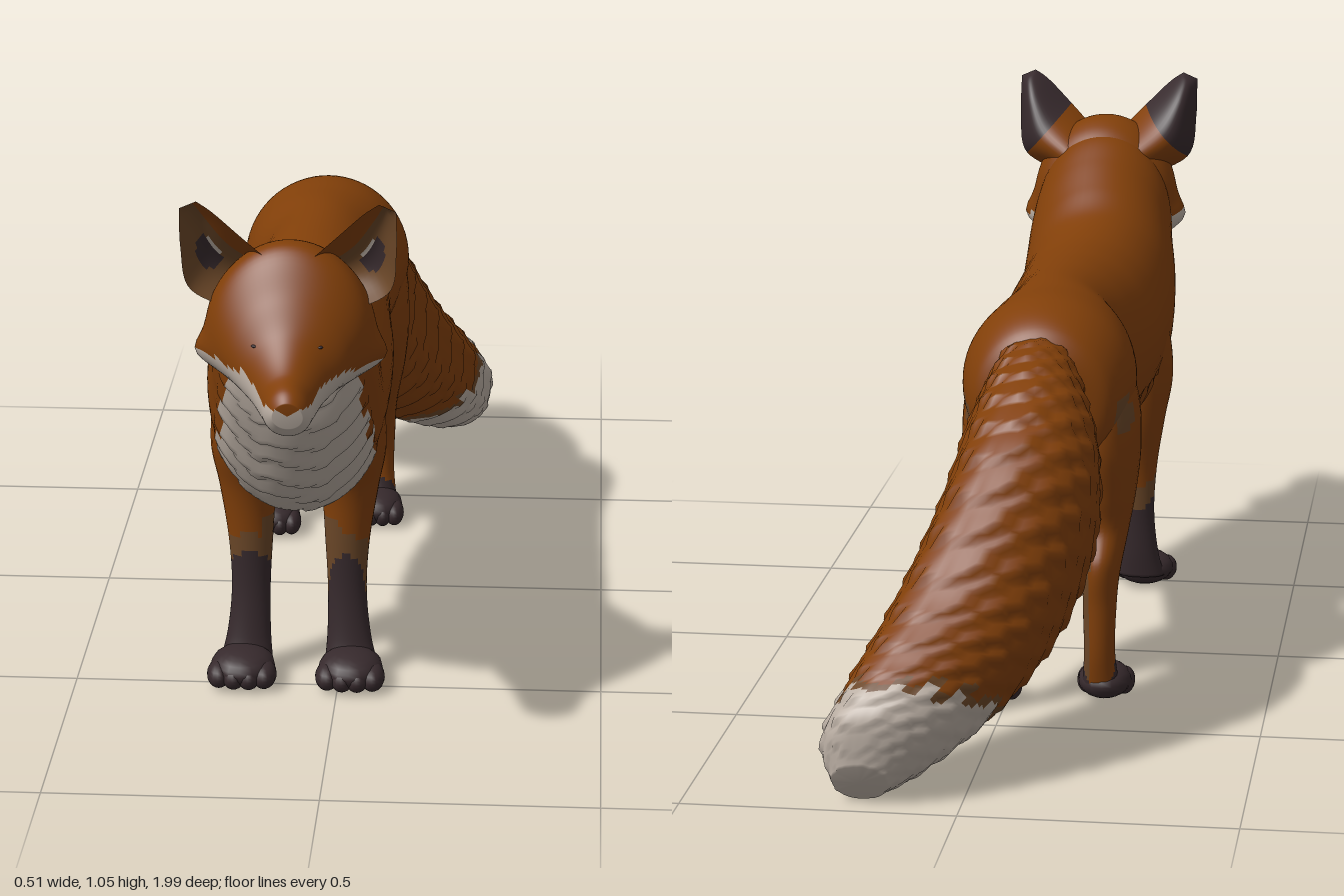
import * as THREE from 'three';

const fur = (name, color) => {
  const m = new THREE.MeshStandardMaterial({ color, side: THREE.DoubleSide });
  m.name = name;
  return m;
};
const ORANGE = 0, CREAM = 1, DARK = 2, BROWN = 3;
const MID = -0.07; // centre line of the body

// repeatable noise in 0..1
const hash = (n) => { const s = Math.sin(n * 127.1 + 11.7) * 43758.5453; return s - Math.floor(s); };
const saw = (v) => 1 - (v - Math.floor(v));
const bell = (v, width) => Math.exp(-((v / width) ** 2));

// Makes one indexed mesh with a material group for each colour
function paintedMesh(name, verts, faces, mats) {
  const g = new THREE.BufferGeometry();
  g.setAttribute('position', new THREE.Float32BufferAttribute(verts, 3));
  const index = [];
  faces.forEach((list, m) => {
    if (list.length) g.addGroup(index.length, list.length, m);
    for (const i of list) index.push(i);
  });
  g.setIndex(index);
  g.computeVertexNormals();
  const mesh = new THREE.Mesh(g, mats);
  mesh.name = name;
  return mesh;
}

// Smooth skin over rings [x, topZ, topY, bottomZ, bottomY, halfWidth]
function loft(name, rings, mats, pick, { segs = 40, steps = 6, widen = () => 1, tufts = () => 1 } = {}) {
  const curveA = new THREE.CatmullRomCurve3(rings.map((r) => new THREE.Vector3(r[0], r[2], r[1])));
  const curveB = new THREE.CatmullRomCurve3(rings.map((r) => new THREE.Vector3(r[5], r[4], r[3])));
  const n = (rings.length - 1) * steps;
  const verts = [], faces = [[], [], [], []];
  for (let i = 0; i <= n; i++) {
    const a = curveA.getPoint(i / n), b = curveB.getPoint(i / n);
    const cy = (a.y + b.y) / 2, cz = (a.z + b.z) / 2;
    for (let j = 0; j < segs; j++) {
      const t = (j / segs) * Math.PI * 2, c = Math.cos(t), f = tufts(i / steps, j, c);
      verts.push(a.x + b.x * Math.sin(t) * widen(i / steps, c) * f, cy + (a.y - cy) * c * f, cz + (a.z - cz) * c * f);
    }
  }
  const at = (i, j) => i * segs + (j % segs);
  const colour = (i, j) => {
    const k = at(i, j) * 3;
    return pick({ x: verts[k], y: verts[k + 1], z: verts[k + 2], t: i / steps, j, c: Math.cos(((j + 0.5) / segs) * Math.PI * 2) });
  };
  for (let i = 0; i < n; i++) for (let j = 0; j < segs; j++) {
    const p = at(i, j), q = at(i + 1, j), r = at(i, j + 1), s = at(i + 1, j + 1);
    faces[colour(i, j)].push(p, q, r, r, q, s);
  }
  // end caps
  for (const i of [0, n]) {
    const a = curveA.getPoint(i / n), b = curveB.getPoint(i / n), k = verts.length / 3;
    verts.push(a.x, (a.y + b.y) / 2, (a.z + b.z) / 2);
    for (let j = 0; j < segs; j++) {
      const e = [at(i, j), at(i, j + 1)];
      faces[colour(i, j)].push(k, ...(i ? e.reverse() : e));
    }
  }
  return paintedMesh(name, verts, faces, mats);
}

// Paw: a pad with four closely set toes
function paw(name, x, z, width, length, mat) {
  const g = new THREE.Group();
  g.name = name;
  const ball = (part, px, py, pz, sx, sy, sz) => {
    const m = new THREE.Mesh(new THREE.SphereGeometry(1, 16, 12), mat);
    m.name = part;
    m.position.set(x + px, py, z + pz);
    m.scale.set(sx, sy, sz);
    g.add(m);
  };
  ball('pad', 0, 0.036, 0, width * 0.47, 0.035, length * 0.54);
  for (let k = 0; k < 4; k++) {
    const u = k - 1.5;
    ball('toe', u * width * 0.22, 0.027, length * (0.27 - 0.05 * Math.abs(u)), width * 0.18, 0.026, length * 0.31);
  }
  return g;
}

// Ear: a cupped sheet, dark behind and lighter inside
function ear(name, side, mats, inside) {
  const P = (x, y, z) => new THREE.Vector3(x, y, z);
  const inner = new THREE.CatmullRomCurve3([P(0.04, 0.94, 0.775), P(0.085, 0.985, 0.79), P(0.135, 1.033, 0.8), P(0.16, 1.05, 0.8)]);
  const outer = new THREE.CatmullRomCurve3([P(0.115, 0.84, 0.755), P(0.178, 0.88, 0.765), P(0.19, 0.96, 0.785), P(0.19, 1.037, 0.8)]);
  const N = 20, verts = [], faces = [[], [], [], []];
  for (let i = 0; i <= N; i++) for (let j = 0; j <= N; j++) {
    const v = i / N, u = j / N, p = inner.getPoint(v).lerp(outer.getPoint(v), u);
    const cup = 4 * u * (1 - u) * Math.pow(1 - v, 0.5) * (inside ? 0.07 : 0.1);
    verts.push(-0.067 + side * p.x, p.y, p.z - cup);
  }
  for (let i = 0; i < N; i++) for (let j = 0; j < N; j++) {
    const v = (i + 0.5) / N, u = (j + 0.5) / N, p = i * (N + 1) + j, q = p + N + 1;
    let m = v < 0.3 ? ORANGE : DARK;
    if (inside) {
      m = u < 0.3 || v < 0.12 ? ORANGE : BROWN;
      if (Math.hypot((u - 0.6) / 0.16, (v - 0.4) / 0.17) < 1) m = u < 0.52 ? CREAM : DARK;
    }
    const f = [p, q, p + 1, p + 1, q, q + 1];
    faces[m].push(...(side > 0 !== inside ? f : f.reverse()));
  }
  return paintedMesh(name, verts, faces, mats);
}

export function createModel() {
  const fox = new THREE.Group();
  fox.name = 'fox';
  const mats = [fur('orangeFur', 0x813f09), fur('creamFur', 0xbaaea3), fur('darkFur', 0x372a2d), fur('brownFur', 0x6b4728)];

  // worn patch on each hip
  const patch = ({ x, y, z }) => Math.hypot(Math.abs(x + 0.067) - 0.145, y - 0.575, z + 0.335) < 0.032;

  // body and neck, from rump to skull, with a cream belly and bib
  const bib = (t, c) => t > 2.8 && c < (t < 7.5 ? -0.83 : t < 9 ? -0.45 : -0.52);
  fox.add(loft('body', [
    [MID, -0.41, 0.69, -0.4, 0.56, 0.06], [MID, -0.37, 0.745, -0.378, 0.46, 0.132],
    [MID, -0.28, 0.78, -0.26, 0.45, 0.165], [MID, -0.17, 0.785, -0.15, 0.45, 0.157],
    [-0.065, -0.07, 0.787, -0.05, 0.42, 0.135], [MID, 0.08, 0.78, 0.08, 0.395, 0.147],
    [MID, 0.22, 0.772, 0.22, 0.385, 0.16], [MID, 0.36, 0.775, 0.38, 0.375, 0.163],
    [-0.075, 0.46, 0.8, 0.52, 0.37, 0.163], [-0.075, 0.53, 0.845, 0.61, 0.44, 0.16],
    [MID, 0.6, 0.89, 0.67, 0.52, 0.152], [MID, 0.66, 0.925, 0.72, 0.6, 0.142],
    [-0.067, 0.71, 0.94, 0.75, 0.68, 0.118],
  ], mats, (p) => {
    const { t, c, j } = p;
    if (bib(t + hash(j) * 0.3, c + (hash(j + Math.floor(t * 3) * 7) - 0.5) * 0.1)) return CREAM;
    return patch(p) ? BROWN : ORANGE;
  }, {
    segs: 64, steps: 10,
    tufts: (t, j, c) => (t > 3.5 && c < -0.4 ? 0.98 + 0.06 * saw(t * 1.7 + hash(j >> 1) * 0.6) : 1),
  }));

  // head, from skull to nose, with broad cream cheeks
  fox.add(loft('head', [
    [MID, 0.62, 0.87, 0.66, 0.66, 0.1], [-0.068, 0.69, 0.945, 0.72, 0.665, 0.147],
    [-0.067, 0.765, 0.962, 0.77, 0.675, 0.146], [-0.066, 0.83, 0.885, 0.83, 0.685, 0.11],
    [-0.063, 0.875, 0.825, 0.875, 0.677, 0.073], [-0.059, 0.93, 0.78, 0.92, 0.67, 0.05],
    [-0.056, 0.975, 0.765, 0.96, 0.677, 0.04], [-0.054, 0.996, 0.748, 0.986, 0.7, 0.026],
  ], mats, ({ x, y, z, j }) => {
    const cheek = THREE.MathUtils.smoothstep(Math.abs(x + 0.065), 0.03, 0.09);
    const line = z > 0.965 ? 0.735 : 0.724 + 0.036 * cheek;
    return y < line + (hash(j) - 0.5) * 0.012 ? CREAM : ORANGE;
  }, {
    segs: 64, steps: 10,
    widen: (t, c) => 1 - 0.1 * c + 0.22 * bell(c + 0.45, 0.25) * bell(t - 1.3, 0.9),
  }));

  for (const s of [1, -1]) {
    const side = s > 0 ? 'left' : 'right';
    fox.add(ear(side + 'EarBack', s, mats, false), ear(side + 'EarInside', s, mats, true));

    // small narrow eye
    const eye = new THREE.Mesh(new THREE.SphereGeometry(0.006, 12, 8), mats[DARK]);
    eye.name = side + 'Eye';
    eye.scale.y = 0.5;
    eye.position.set(-0.064 + s * 0.057, 0.807, 0.862);
    fox.add(eye);

    // front leg, listed from shoulder to ankle as front and back points
    const front = [
      [0.075, 0.5, 0.66, 0.36, 0.66, 0.05], [0.086, 0.52, 0.57, 0.345, 0.57, 0.07],
      [0.093, 0.51, 0.47, 0.35, 0.47, 0.073], [0.096, 0.478, 0.38, 0.365, 0.38, 0.055],
      [0.092, 0.465, 0.27, 0.393, 0.27, 0.042], [0.092, 0.46, 0.17, 0.405, 0.17, 0.037],
      [0.096, 0.468, 0.08, 0.413, 0.08, 0.042], [0.1, 0.48, 0.03, 0.42, 0.03, 0.05],
    ].map(([x, ...r]) => [-0.078 + s * x, ...r]);
    const sock = s > 0 ? [0.15, 0.11] : [0.225, 0.035];
    fox.add(loft(side + 'FrontLeg', front, mats, ({ x, y, c }) => {
      if (y < sock[0] + sock[1] * c) return DARK;
      return y < 0.27 + 0.03 * c || (y < 0.33 && (x + 0.077) * s < 0.075) ? BROWN : ORANGE;
    }, { segs: 32, steps: 8 }));
    fox.add(paw(side + 'FrontPaw', -0.079 + s * 0.103, 0.49, 0.13, 0.128, mats[DARK]));

    // hind leg; the right one stands a little further forward
    const shift = (y) => (s > 0 ? 0 : 0.065 * (1 - THREE.MathUtils.smoothstep(y, 0.2, 0.46)));
    const hind = [
      [0.07, -0.16, 0.69, -0.34, 0.69, 0.05], [0.09, -0.12, 0.6, -0.365, 0.6, 0.073],
      [0.1, -0.115, 0.5, -0.375, 0.5, 0.072], [0.104, -0.175, 0.4, -0.365, 0.41, 0.061],
      [0.105, -0.255, 0.32, -0.375, 0.345, 0.048], [0.105, -0.335, 0.235, -0.428, 0.285, 0.036],
      [0.104, -0.368, 0.18, -0.438, 0.2, 0.032], [0.104, -0.37, 0.1, -0.43, 0.1, 0.03],
      [0.105, -0.355, 0.035, -0.415, 0.03, 0.036],
    ].map(([x, zf, yf, zb, yb, w]) => [-0.074 + s * x, zf + shift(yf), yf, zb + shift(yb), yb, w]);
    const toeLine = s > 0 ? [0.065, 0.03] : [0.1, 0.06];
    fox.add(loft(side + 'HindLeg', hind, mats, (p) => {
      if (p.y < toeLine[0] + toeLine[1] * p.c) return DARK;
      return patch(p) || (p.y < 0.5 && (p.x + 0.074) * s < 0.085) ? BROWN : ORANGE;
    }, { segs: 32, steps: 8 }));
    fox.add(paw(side + 'HindPaw', -0.078 + s * 0.106, -0.358 + shift(0), 0.11, 0.12, mats[DARK]));
  }

  // bushy tail, listed from tip to root, curving to the left
  fox.add(loft('tail', [
    [0.18, -0.99, 0.08, -0.945, 0.005, 0.05], [0.152, -0.99, 0.18, -0.885, 0.018, 0.1],
    [0.095, -0.93, 0.262, -0.8, 0.06, 0.13], [0.033, -0.855, 0.355, -0.7, 0.12, 0.146],
    [-0.022, -0.765, 0.485, -0.6, 0.185, 0.148], [-0.06, -0.67, 0.605, -0.51, 0.285, 0.142],
    [-0.068, -0.55, 0.68, -0.44, 0.4, 0.126], [-0.062, -0.44, 0.718, -0.39, 0.49, 0.1],
    [-0.06, -0.34, 0.735, -0.34, 0.56, 0.08],
  ], mats, ({ x, t, c, j }) => {
    const k = t + hash(j >> 1) * 0.35 + 0.45 * c;
    if (k < 2.1) return CREAM;
    if (c < -0.8 && x < -0.025 && x > -0.125 && t > 3) return CREAM;
    return k < 2.25 ? BROWN : ORANGE;
  }, {
    segs: 56, steps: 16,
    tufts: (t, j) => 0.965 + 0.09 * saw(t * 2 + hash(j >> 1) * 0.85) * Math.min(1, 0.35 + hash((j >> 1) + 60)),
  }));

  return fox;
}
